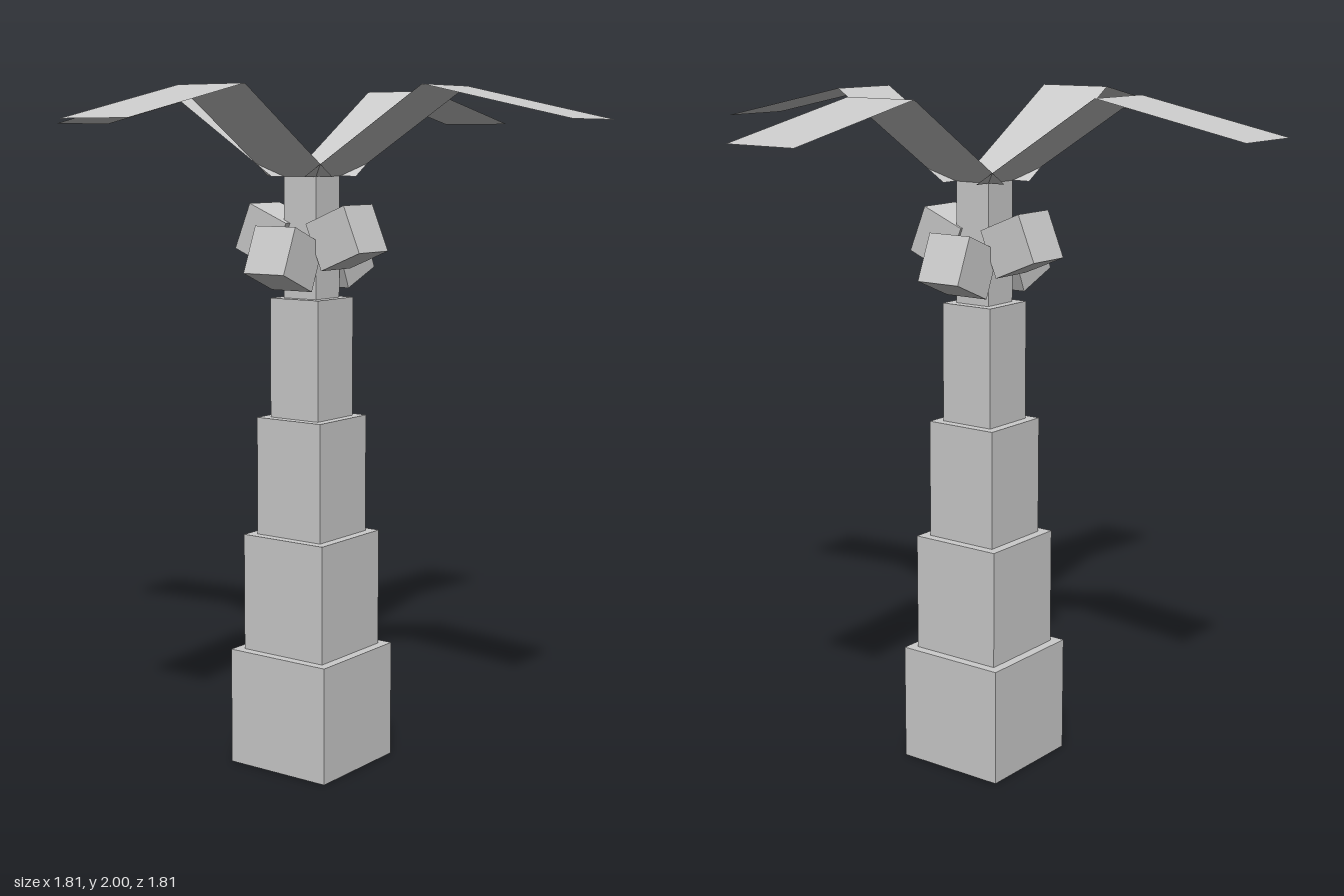
import * as THREE from 'three';

const grey = new THREE.MeshStandardMaterial({ color: 0xcccccc, flatShading: true });
const leafGrey = new THREE.MeshStandardMaterial({ color: 0xcccccc, flatShading: true, side: THREE.DoubleSide });

// Flat strip running along +z between two [z, y] points
function strip(name, [z0, y0], [z1, y1], width) {
  const geo = new THREE.PlaneGeometry(width, Math.hypot(z1 - z0, y1 - y0));
  geo.rotateX(-Math.PI / 2);
  const mesh = new THREE.Mesh(geo, leafGrey);
  mesh.rotation.x = -Math.atan2(y1 - y0, z1 - z0);
  mesh.position.set(0, (y0 + y1) / 2, (z0 + z1) / 2);
  mesh.name = name;
  return mesh;
}

export function createModel() {
  const model = new THREE.Group();
  model.name = 'palmTree';

  // Trunk: five stacked blocks, each narrower than the one below
  const blockHeight = 0.35;
  for (let i = 0; i < 5; i++) {
    const width = 0.344 - i * 0.0573;
    const block = new THREE.Mesh(new THREE.BoxGeometry(width, blockHeight, width), grey);
    block.position.y = (i + 0.5) * blockHeight;
    block.name = `trunkBlock${i + 1}`;
    model.add(block);
  }

  // Four leaves: rising inner half, drooping outer half
  for (let i = 0; i < 4; i++) {
    const leaf = new THREE.Group();
    leaf.name = `leaf${i + 1}`;
    leaf.add(
      strip('leafInner', [0.058, 1.75], [0.45, 2], 0.23),
      strip('leafOuter', [0.45, 2], [0.904, 1.905], 0.23)
    );
    leaf.rotation.y = i * Math.PI / 2;
    model.add(leaf);
  }

  // Four tilted coconuts, the side pair hanging higher than the front and back pair
  const coconuts = new THREE.Group();
  coconuts.name = 'coconuts';
  coconuts.position.z = 0.006;
  const nutGeo = new THREE.BoxGeometry(0.143, 0.143, 0.143);
  for (let i = 0; i < 4; i++) {
    const arm = new THREE.Group();
    arm.name = `coconutArm${i + 1}`;
    const nut = new THREE.Mesh(nutGeo, grey);
    nut.name = 'coconut';
    nut.position.set(0, i % 2 ? 1.578 : 1.519, 0.129);
    nut.rotation.x = -Math.PI / 8;
    arm.add(nut);
    arm.rotation.y = i * Math.PI / 2;
    coconuts.add(arm);
  }
  model.add(coconuts);

  return model;
}
